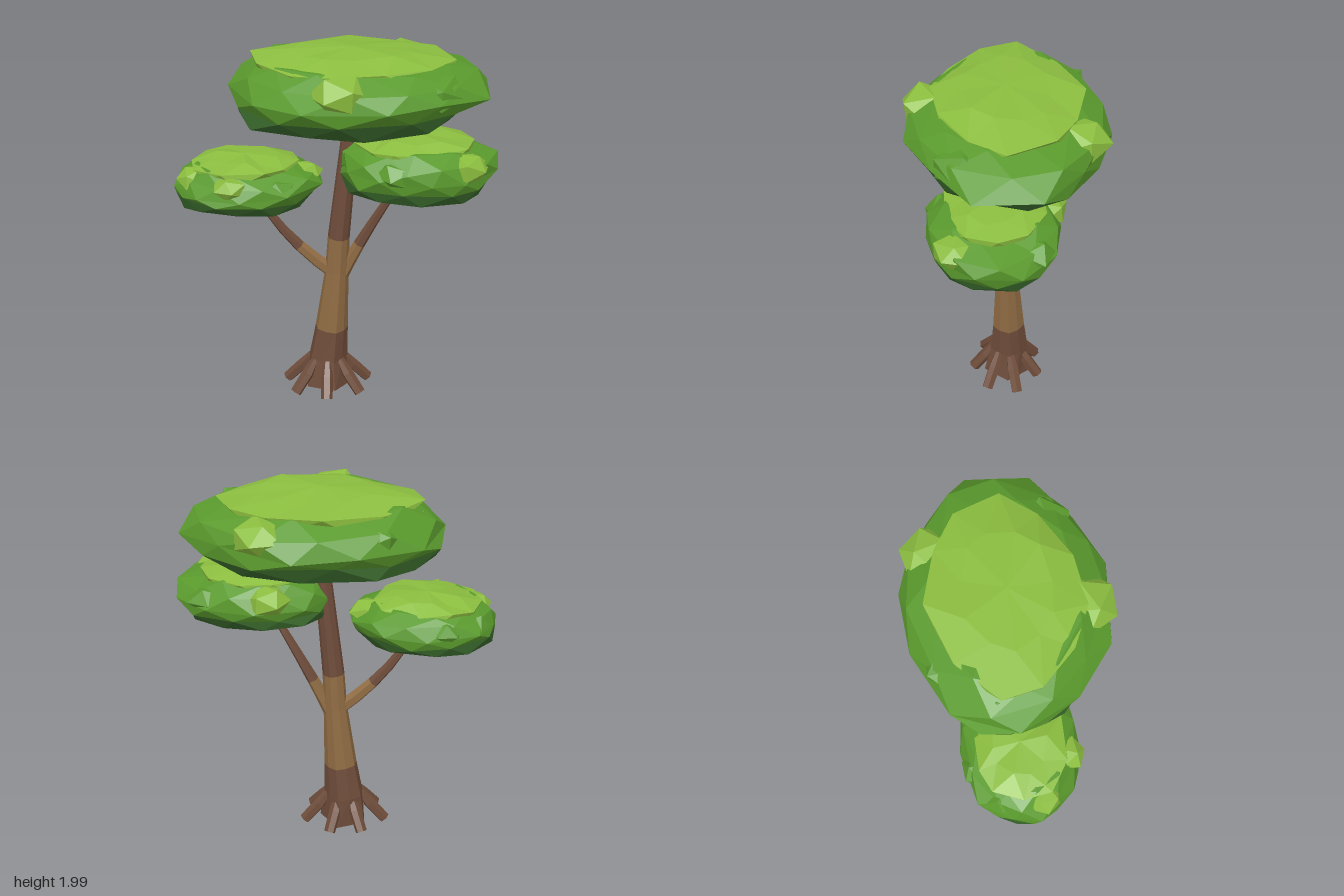
import * as THREE from 'three';

const paint = (color) => new THREE.MeshStandardMaterial({ color, flatShading: true });
const bark = paint(0x6e4c3a), barkLight = paint(0x8f6b43);
const leafDark = paint(0x38662b), leafMid = paint(0x5a9a2d), leafLight = paint(0x8bbd3f);

// small repeatable jitter in -1..1
const jitter = (n) => {
  const s = Math.sin(n * 12.9898) * 43758.5453;
  return (s - Math.floor(s)) * 2 - 1;
};

function addMesh(parent, name, geometry, material) {
  const mesh = new THREE.Mesh(geometry, material);
  mesh.name = name;
  parent.add(mesh);
  return mesh;
}

// faceted skin over a stack of rings (arrays of Vector3)
function loft(rings) {
  const points = [];
  const tri = (a, b, c) => {
    if (a.distanceTo(b) > 1e-6 && b.distanceTo(c) > 1e-6 && a.distanceTo(c) > 1e-6) points.push(a, b, c);
  };
  for (let k = 0; k + 1 < rings.length; k++) {
    const A = rings[k], B = rings[k + 1], n = A.length;
    for (let i = 0; i < n; i++) {
      const j = (i + 1) % n;
      tri(A[i], B[i], A[j]);
      tri(B[i], B[j], A[j]);
    }
  }
  const g = new THREE.BufferGeometry().setFromPoints(points);
  g.computeVertexNormals();
  return g;
}

// rings square to a path of [x, y, z, radius], closed at both ends
function limbRings(path, sides, flute = 0) {
  const pts = path.map((p) => new THREE.Vector3(p[0], p[1], p[2]));
  const last = pts.length - 1;
  const rings = pts.map((p, k) => {
    const d = pts[Math.min(k + 1, last)].clone().sub(pts[Math.max(k - 1, 0)]).normalize();
    const e1 = d.clone().cross(new THREE.Vector3(0, 0, 1)).normalize();
    const e2 = e1.clone().cross(d);
    return Array.from({ length: sides }, (_, i) => {
      const a = (i / sides) * Math.PI * 2;
      const r = path[k][3] * (1 + (i % 2 ? -flute : flute) / (k + 1));
      return p.clone().addScaledVector(e1, r * Math.cos(a)).addScaledVector(e2, r * Math.sin(a));
    });
  });
  const cap = (p) => Array(sides).fill(p);
  return [cap(pts[0]), ...rings, cap(pts[last])];
}

// faceted lump of leaves
function lumpGeometry(r, seed) {
  const g = new THREE.IcosahedronGeometry(r, 0);
  const p = g.attributes.position, v = new THREE.Vector3();
  for (let q = 0; q < p.count; q++) {
    v.fromBufferAttribute(p, q);
    const key = Math.round(v.x * 500) + Math.round(v.y * 500) * 3 + Math.round(v.z * 500) * 7;
    v.multiplyScalar(1 + 0.1 * jitter(key + seed));
    p.setXYZ(q, v.x, v.y, v.z);
  }
  g.rotateY(seed).scale(1, 0.68, 1).computeVertexNormals();
  return g;
}

// ring heights, widths and sideways shifts of a leaf cloud, from its underside up
const crownProfile = [[0, 0, 0], [0.21, 0.85, -0.09], [0.38, 0.95, -0.03], [0.54, 1.01, 0],
  [0.72, 0.93, 0], [0.86, 0.72, -0.04], [0.92, 0, 0]];
const capProfile = [[0.74, 0.72, -0.05], [0.87, 0.76, -0.05], [0.96, 0.46, -0.05], [1, 0, -0.05]];

// domed cloud of leaves: dark underside, green middle, bright cap, lumps round the rim
function canopy(name, seed, sides, [cx, y0, cz], [rx, height, rz], brightLumps, midLumps, lumpSize) {
  const group = new THREE.Group();
  group.name = name;
  // each ring is turned half a step from the one below
  const ring = (k, [h, s, shift]) => Array.from({ length: sides }, (_, i) => {
    const a = ((i + k / 2 + 0.2 * jitter(seed * 31 + i)) / sides) * Math.PI * 2;
    const id = seed * 97 + k * 13 + i;
    const f = s * (1 + 0.06 * jitter(id));
    const wobble = s > 0 ? 0.04 * jitter(id + 50) : 0;
    return new THREE.Vector3(
      cx + rx * (shift + f * Math.cos(a)), y0 + height * (h + wobble), cz + rz * f * Math.sin(a));
  });
  const rings = crownProfile.map((row, k) => ring(k, row));
  const cap = capProfile.map((row, k) => ring(k + 5, row));
  addMesh(group, 'underside', loft(rings.slice(0, 3)), leafDark);
  addMesh(group, 'middleLeaves', loft(rings.slice(2)), leafMid);
  addMesh(group, 'topLeaves', loft(cap), leafLight);

  const addLumps = (angles, reach, level, material) => angles.forEach((degrees) => {
    const a = THREE.MathUtils.degToRad(degrees);
    addMesh(group, 'leafLump', lumpGeometry(lumpSize, seed + degrees), material).position.set(
      cx + rx * reach * Math.cos(a), y0 + height * level, cz + rz * reach * Math.sin(a));
  });
  addLumps(brightLumps, 0.79, 0.68, leafLight);
  addLumps(midLumps, 0.74, 0.6, leafMid);
  return group;
}

export function createModel() {
  const tree = new THREE.Group();
  tree.name = 'tree';

  // trunk, leaning slightly, with a lighter band in the middle
  const trunk = limbRings([
    [-0.05, 0.03, -0.02, 0.125], [-0.05, 0.2, -0.035, 0.108], [-0.03, 0.39, -0.03, 0.09],
    [0, 0.75, -0.02, 0.064], [0.01, 0.95, -0.013, 0.059], [0.075, 1.62, 0, 0.042]], 10, 0.1);
  addMesh(tree, 'trunkBase', loft(trunk.slice(0, 4)), bark);
  addMesh(tree, 'trunkMiddle', loft(trunk.slice(3, 6)), barkLight);
  addMesh(tree, 'trunkTop', loft(trunk.slice(5)), bark);

  // branches, light near the trunk and dark towards the leaves
  const addBranch = (name, start, bend, end) => {
    const curve = new THREE.QuadraticBezierCurve3(
      new THREE.Vector3(...start), new THREE.Vector3(...bend), new THREE.Vector3(...end));
    const path = curve.getPoints(5).map((p, k) => [p.x, p.y, p.z, 0.042 - 0.005 * k]);
    const rings = limbRings(path, 6);
    addMesh(tree, name + 'Base', loft(rings.slice(0, 4)), barkLight);
    addMesh(tree, name + 'Tip', loft(rings.slice(3)), bark);
  };
  addBranch('rightBranch', [0, 0.72, -0.02], [-0.28, 0.92, -0.02], [-0.42, 1.2, 0]);
  addBranch('leftBranch', [0.01, 0.68, -0.02], [0.13, 0.94, -0.02], [0.35, 1.32, 0.04]);

  // roots splayed around the foot
  for (let i = 0; i < 7; i++) {
    const a = Math.PI / 2 + (i / 7) * Math.PI * 2 + 0.12 * jitter(i + 3);
    const at = (f, y, r) => [-0.05 + 0.235 * f * Math.cos(a), y, -0.02 + 0.19 * f * Math.sin(a), r];
    const path = [at(0.38, 0.2, 0.022), at(0.62, 0.125, 0.034), at(1, 0.027, 0.032)];
    addMesh(tree, 'root', loft(limbRings(path, 6)), bark);
  }

  tree.add(
    canopy('topCanopy', 1, 11, [0.11, 1.55, -0.01], [0.66, 0.45, 0.48], [100, -62], [-12, 40, 190, 232], 0.15),
    canopy('leftCanopy', 2, 10, [0.42, 1.21, 0.07], [0.41, 0.365, 0.33], [45, 255], [115, 185, -45], 0.115),
    canopy('rightCanopy', 3, 10, [-0.46, 1.1, -0.01], [0.375, 0.33, 0.3], [160, 0, 105], [55, 250, 210], 0.095));
  return tree;
}
